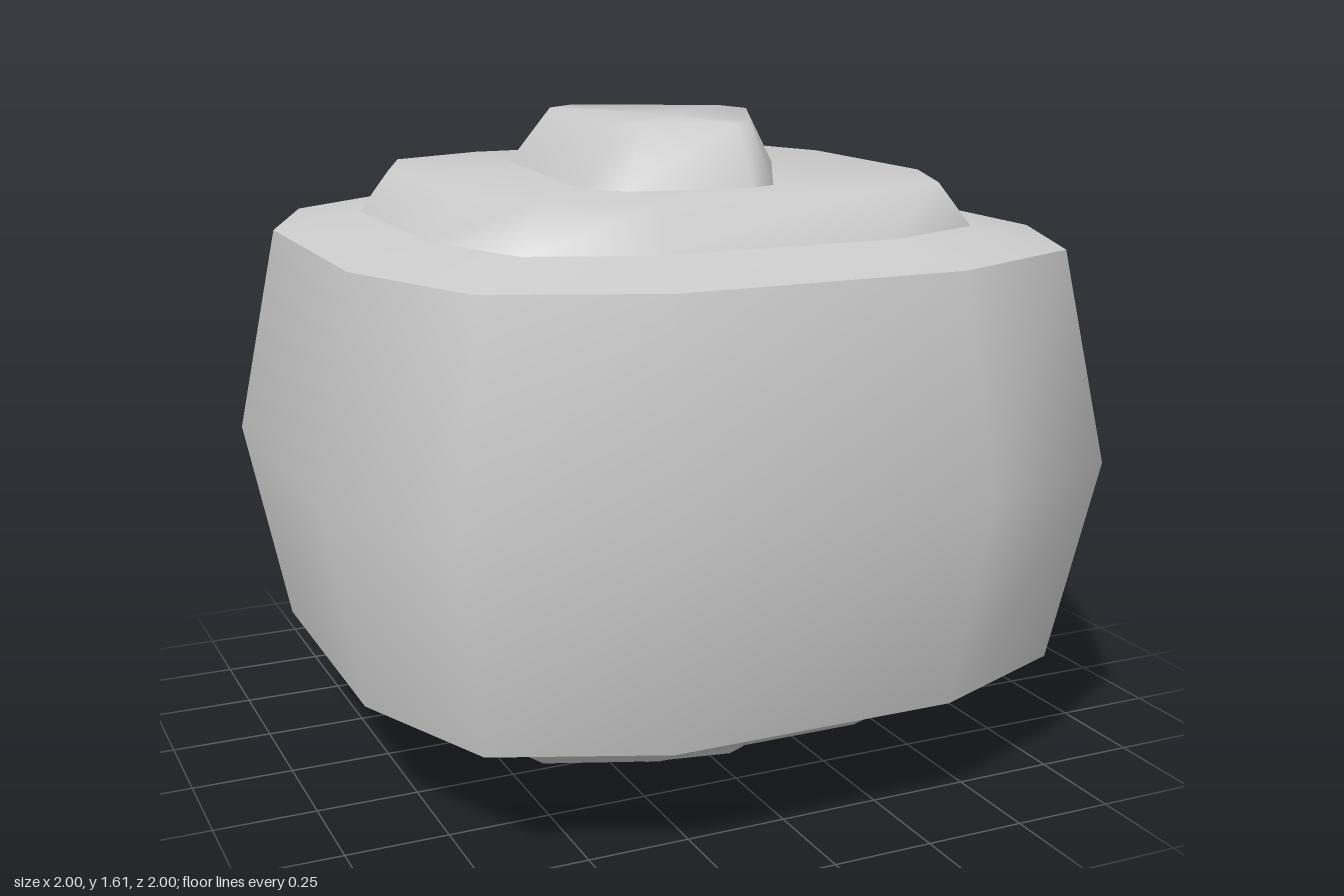
import * as THREE from 'three';

const MID = 0.805; // height of the mirror plane
const material = new THREE.MeshStandardMaterial({ color: 0xcccccc, side: THREE.DoubleSide });

// Twelve-sided rounded square, anticlockwise seen from above
function roundedSquare(reach, flat, corner) {
  const points = [];
  let quarter = [[reach, -flat], [corner, -corner], [flat, -reach]];
  for (let q = 0; q < 4; q++) {
    points.push(...quarter);
    quarter = quarter.map(([x, z]) => [z, -x]);
  }
  return points;
}

const scaleAbout = (points, sx, sz, cx = 0, cz = 0) =>
  points.map(([x, z]) => [cx + (x - cx) * sx, cz + (z - cz) * sz]);

// Smooth skin through rings of { h, points }; h is measured from the mirror
// plane, side = -1 turns the part upside down, cap closes the last ring
function loft(name, rings, side = 1, cap = false) {
  const n = rings[0].points.length;
  const positions = [];
  const index = [];
  const face = (a, b, c) => index.push(...(side > 0 ? [a, b, c] : [a, c, b]));
  for (const { h, points } of rings) {
    for (const [x, z] of points) positions.push(x, MID + side * h, z);
  }
  for (let r = 0; r < rings.length - 1; r++) {
    for (let i = 0; i < n; i++) {
      const a = r * n + i;
      const b = r * n + (i + 1) % n;
      face(a, b, b + n);
      face(a, b + n, a + n);
    }
  }
  if (cap) {
    const { h, points } = rings[rings.length - 1];
    const base = (rings.length - 1) * n;
    const mean = (k) => points.reduce((sum, p) => sum + p[k], 0) / n;
    positions.push(mean(0), MID + side * h, mean(1));
    for (let i = 0; i < n; i++) face(base + i, base + (i + 1) % n, base + n);
  }
  const geometry = new THREE.BufferGeometry();
  geometry.setAttribute('position', new THREE.Float32BufferAttribute(positions, 3));
  geometry.setIndex(index);
  geometry.computeVertexNormals();
  const mesh = new THREE.Mesh(geometry, material);
  mesh.name = name;
  return mesh;
}

export function createModel() {
  const model = new THREE.Group();
  model.name = 'steppedBlock';

  const belly = roundedSquare(1, 0.39, 0.82);
  const rim = roundedSquare(0.9, 0.355, 0.74);
  const tierFoot = roundedSquare(0.69, 0.293, 0.577);
  const tierTop = scaleAbout(tierFoot, 0.9, 0.9);
  const knobFoot = [
    [-0.26, -0.355], [-0.315, 0.28], [-0.24, 0.385], [0.06, 0.435],
    [0.13, 0.405], [0.375, -0.07], [0.345, -0.225], [-0.14, -0.445],
  ];
  const knobTop = scaleAbout(knobFoot, 0.725, 0.784, 0.03, 0.088);

  // Bulging outer wall
  model.add(loft('wall', [
    { h: -0.513, points: rim }, { h: 0, points: belly }, { h: 0.513, points: rim },
  ]));

  // Shoulder, raised tier and irregular knob, mirrored top and bottom
  for (const [side, prefix] of [[1, 'top'], [-1, 'bottom']]) {
    model.add(
      loft(prefix + 'Shoulder', [{ h: 0.513, points: rim }, { h: 0.558, points: tierFoot }], side),
      loft(prefix + 'Tier', [{ h: 0.558, points: tierFoot }, { h: 0.66, points: tierTop }], side, true),
      loft(prefix + 'Knob', [{ h: 0.66, points: knobFoot }, { h: 0.805, points: knobTop }], side, true),
    );
  }
  return model;
}
